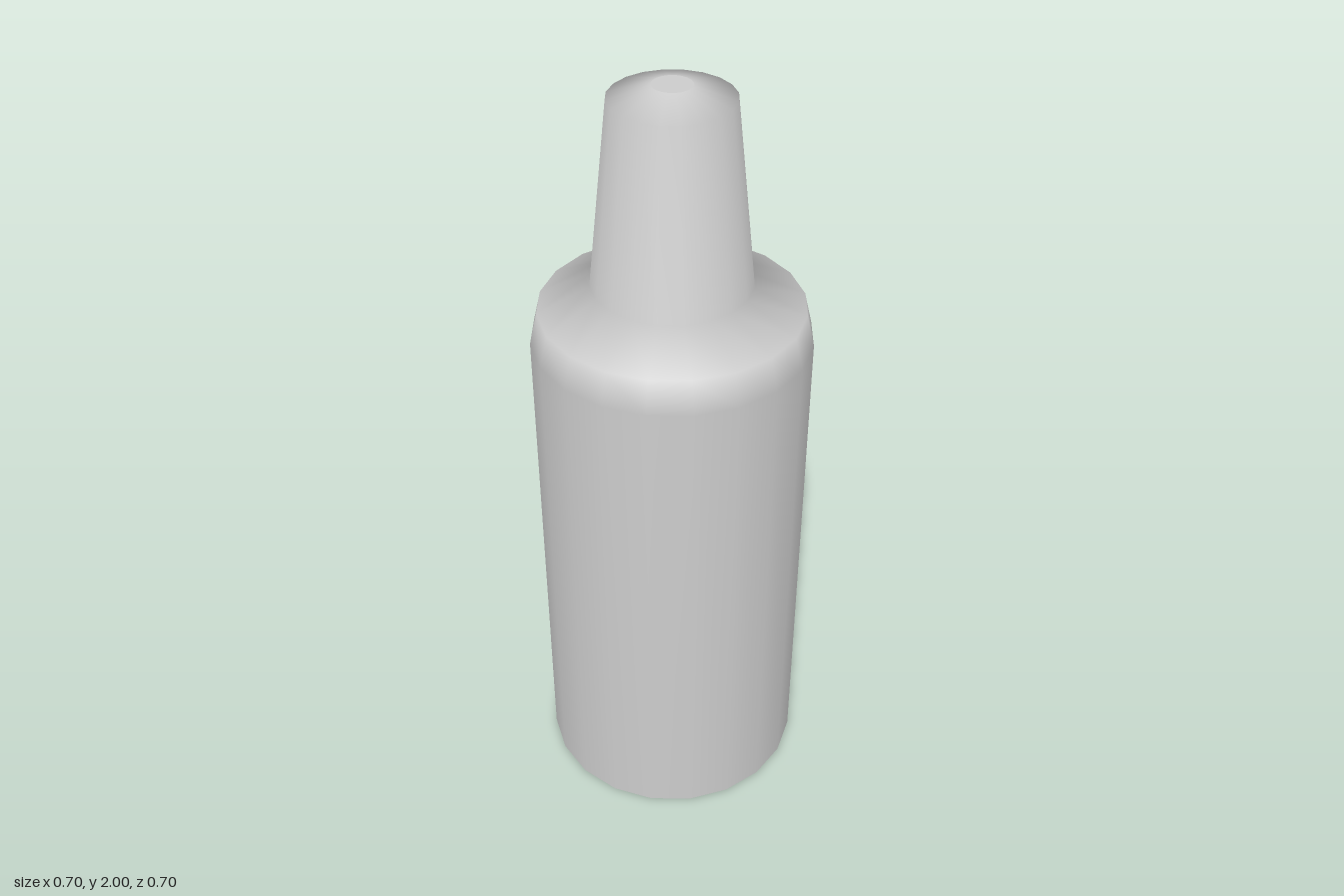
import * as THREE from 'three';

const SIDES = 20;

export function createModel() {
  const group = new THREE.Group();
  const material = new THREE.MeshStandardMaterial({ color: 0xcccccc });

  const add = (name, geometry, y = 0) => {
    const mesh = new THREE.Mesh(geometry, material);
    mesh.name = name;
    mesh.position.y = y;
    group.add(mesh);
  };

  // Smooth wall: straight body, bevelled shoulder, tapered nozzle, domed tip
  const profile = [
    [0.35, 0], [0.35, 1.35], [0.33, 1.435], [0.2, 1.5], [0.15, 1.97], [0.048, 2],
  ].map(([r, y]) => new THREE.Vector2(r, y));
  add('bottleBody', new THREE.LatheGeometry(profile, SIDES));

  // Flat discs closing the tip and the base
  add('tipDisc', new THREE.CircleGeometry(0.048, SIDES).rotateX(-Math.PI / 2), 2);
  add('baseDisc', new THREE.CircleGeometry(0.35, SIDES).rotateX(Math.PI / 2));

  return group;
}
